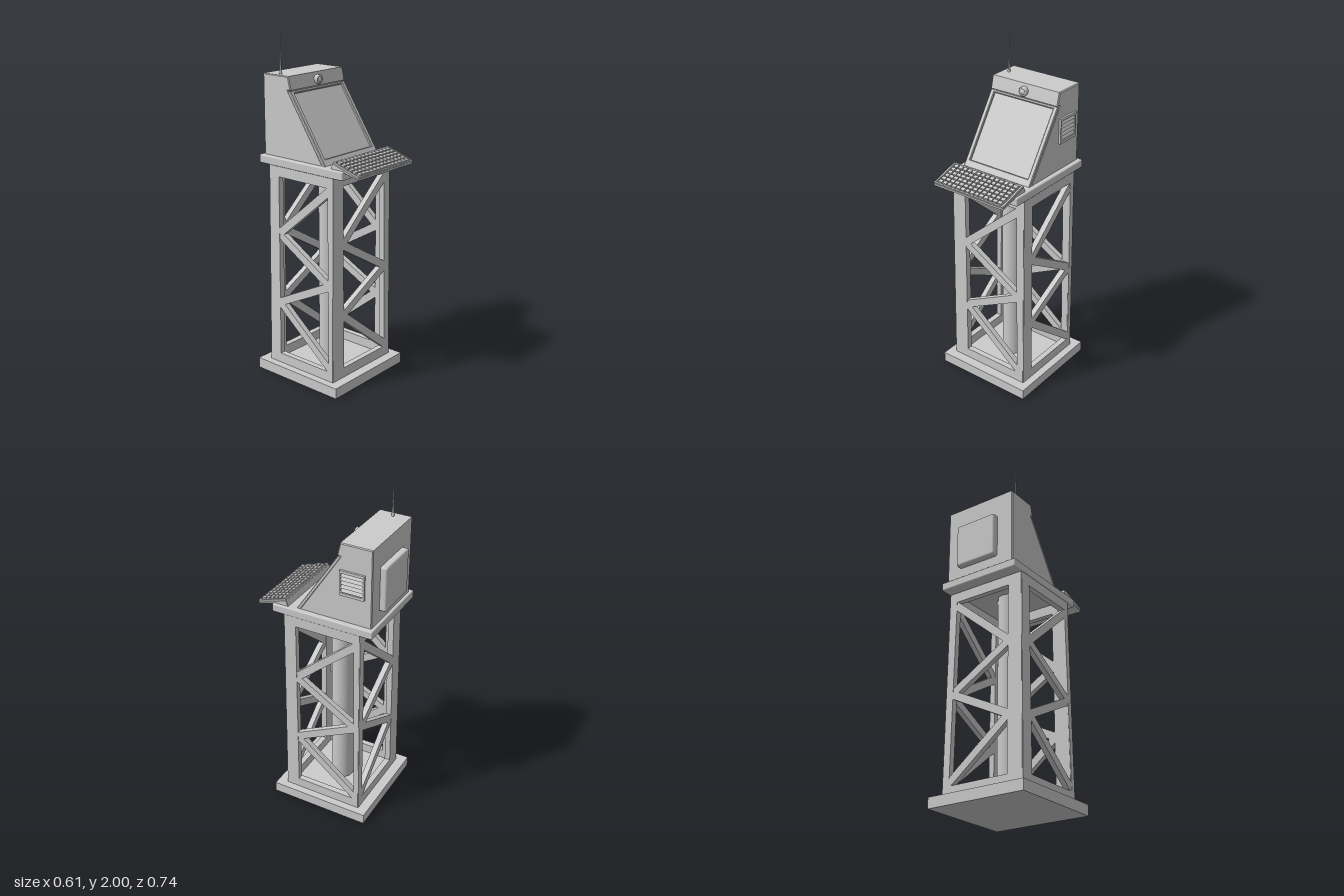
import * as THREE from 'three';
import { RoundedBoxGeometry } from 'three/addons/geometries/RoundedBoxGeometry.js';

const mat = new THREE.MeshStandardMaterial({ color: 0xcccccc });
const CZ = -0.037; // centre of the tower in z

function add(parent, name, geo, x = 0, y = 0, z = 0) {
  const m = new THREE.Mesh(geo, mat);
  m.name = name;
  m.position.set(x, y, z);
  parent.add(m);
  return m;
}

const poly = pts => new THREE.Shape(pts.map(p => new THREE.Vector2(...p)));

// Flat shape given depth, centred on its own plane
function slab(shape, depth, bevel = 0) {
  const g = new THREE.ExtrudeGeometry(shape, {
    depth: depth - 2 * bevel, bevelEnabled: bevel > 0, bevelSize: bevel,
    bevelThickness: bevel, bevelOffset: -bevel, bevelSegments: 1,
  });
  return g.translate(0, 0, -depth / 2 + bevel);
}

// Profile drawn in (z, y), extruded across x
const across = (pts, width, bevel) => slab(poly(pts), width, bevel).rotateY(-Math.PI / 2);

// One lattice wall: a tapered frame and four zigzag braces
function trussPanel(name, half) {
  const g = new THREE.Group();
  g.name = name;
  const T = 0.035, L = -0.163, R = 0.207;
  const frame = poly([[-half, 0.05], [half, 0.05], [half - 0.009, 1.28], [-half + 0.009, 1.28]]);
  frame.holes.push(poly([[L, 0.122], [L, 1.215], [0.2, 1.215], [0.215, 0.122]]));
  add(g, 'trussFrame', slab(frame, T));
  const ys = [1.205, 0.875, 0.645, 0.45, 0.14];
  for (let i = 0; i < 4; i++) {
    const a = i % 2 ? L - 0.005 : R + 0.01, b = i % 2 ? R + 0.01 : L - 0.005;
    const h = 0.023 * Math.hypot(b - a, ys[i + 1] - ys[i]) / Math.abs(b - a);
    const brace = poly([[a, ys[i] - h], [b, ys[i + 1] - h], [b, ys[i + 1] + h], [a, ys[i] + h]]);
    add(g, 'trussBrace', slab(brace, T - 0.002));
  }
  return g;
}

function buildTower(root) {
  add(root, 'basePlate', new THREE.BoxGeometry(0.612, 0.063, 0.612), 0, 0.0315, CZ);
  add(root, 'centreColumn', new THREE.CylinderGeometry(0.066, 0.066, 1.23, 32), 0, 0.665, CZ);
  for (const s of [1, -1]) {
    // Front and back walls share the same brace direction
    const fb = trussPanel(s > 0 ? 'frontTruss' : 'backTruss', 0.259);
    fb.position.set(0, 0, CZ + s * 0.23);
    fb.rotation.x = -s * 0.008;
    root.add(fb);
    // Side walls are turned copies of each other
    const pivot = new THREE.Group();
    pivot.name = s > 0 ? 'leftTruss' : 'rightTruss';
    pivot.position.z = CZ;
    pivot.rotation.y = s * Math.PI / 2;
    const side = trussPanel('sideTruss', 0.244);
    side.position.z = 0.245;
    side.rotation.x = -0.008;
    pivot.add(side);
    root.add(pivot);
  }
  add(root, 'deck', new RoundedBoxGeometry(0.516, 0.05, 0.62, 2, 0.008), 0, 1.3, -0.038);
}

function buildConsole(root) {
  const g = new THREE.Group();
  g.name = 'console';
  root.add(g);
  add(g, 'cabinet', across([
    [0.112, 1.318], [-0.143, 1.708], [-0.122, 1.712], [-0.14, 1.787], [-0.33, 1.787], [-0.33, 1.318],
  ], 0.46, 0.005));

  // Raised rim around the sloping screen
  const rim = poly([[-0.23, 0], [0.23, 0], [0.23, 0.464], [-0.23, 0.464]]);
  rim.holes.push(poly([[-0.203, 0.045], [-0.203, 0.448], [0.203, 0.448], [0.203, 0.045]]));
  const screen = new THREE.Group();
  screen.name = 'screen';
  screen.position.set(0, 1.322, 0.13);
  screen.rotation.x = -0.585;
  add(screen, 'screenRim', slab(rim, 0.02, 0.004), 0, 0, -0.01);
  add(screen, 'screenGlass', new THREE.BoxGeometry(0.41, 0.41, 0.01), 0, 0.247, -0.018);
  g.add(screen);

  // Round camera above the screen
  const eye = new THREE.LatheGeometry([
    [0, 0.026], [0.012, 0.024], [0.017, 0.017], [0.019, 0.02], [0.024, 0.02], [0.027, 0.015], [0.027, -0.01],
  ].map(p => new THREE.Vector2(...p)).reverse(), 24).rotateX(Math.PI / 2);
  add(g, 'camera', eye, 0, 1.745, -0.13);

  // Slatted vent on the left side
  const vent = poly([[0.14, 1.487], [0.288, 1.487], [0.288, 1.635], [0.14, 1.635]]);
  vent.holes.push(poly([[0.15, 1.503], [0.15, 1.619], [0.278, 1.619], [0.278, 1.503]]));
  add(g, 'ventFrame', slab(vent, 0.02).rotateY(Math.PI / 2), 0.232, 0, 0);
  for (let i = 0; i < 5; i++) {
    const slat = add(g, 'ventSlat', new THREE.BoxGeometry(0.006, 0.02, 0.13), 0.234, 1.516 + i * 0.0225, -0.214);
    slat.rotation.z = 0.5;
  }

  // Service hatch on the back
  add(g, 'backHatch', new RoundedBoxGeometry(0.266, 0.265, 0.06, 2, 0.012), 0.008, 1.522, -0.338);

  // Antenna
  add(g, 'antennaBase', new THREE.CylinderGeometry(0.007, 0.009, 0.02, 16), -0.187, 1.793, -0.235);
  add(g, 'antenna', new THREE.CylinderGeometry(0.0012, 0.006, 0.2, 12), -0.187, 1.9, -0.235);
}

function buildKeyboard(root) {
  const g = new THREE.Group();
  g.name = 'keyboard';
  root.add(g);
  add(g, 'keyboardBody', across([
    [0.37, 1.292], [0.37, 1.302], [0.19, 1.358], [0.175, 1.32], [0.26, 1.32],
  ], 0.484, 0.002));
  // Top face carries a thin rim and a grid of keys
  const top = new THREE.Group();
  top.name = 'keyBed';
  top.position.set(0, 1.33, 0.28);
  top.rotation.x = Math.atan2(0.056, 0.18);
  g.add(top);
  for (const s of [1, -1]) {
    add(top, 'sideRim', new THREE.BoxGeometry(0.01, 0.014, 0.184), s * 0.235, 0.002, 0);
    add(top, 'endRim', new THREE.BoxGeometry(0.476, 0.014, 0.008), 0, 0.002, s * 0.088);
  }
  for (let r = 0; r < 6; r++) {
    for (let c = 0; c < 14; c++) {
      // Four-sided frustum as a key cap
      const key = new THREE.CylinderGeometry(0.66, 0.72, 1, 4, 1).rotateY(Math.PI / 4).toNonIndexed();
      key.scale(0.0265, 0.018, 0.022);
      key.computeVertexNormals();
      add(top, 'key', key, (c - 6.5) * 0.0317, 0.004, (r - 2.5) * 0.0275);
    }
  }
}

export function createModel() {
  const root = new THREE.Group();
  root.name = 'towerConsole';
  buildTower(root);
  buildConsole(root);
  buildKeyboard(root);
  return root;
}
